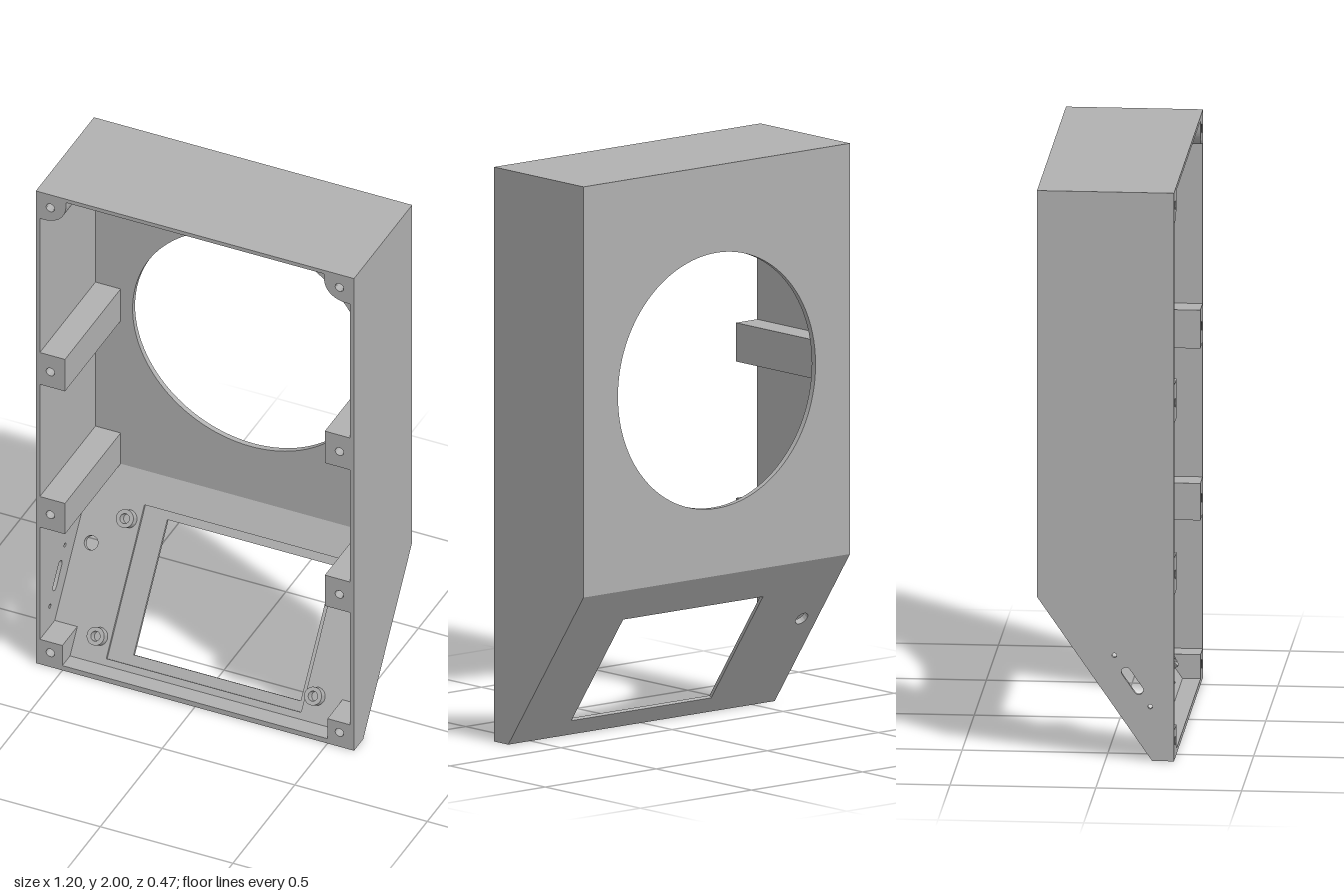
import * as THREE from 'three';
import { toCreasedNormals } from 'three/addons/utils/BufferGeometryUtils.js';

const W = 0.6, INNER = 0.585, FRONT = 0.235, BACK = -0.235, H = 2;
const SLOPE_Y = 0.57, FOOT_Z = 0.16;           // slanted face: (y 0, z FOOT_Z) to (y SLOPE_Y, z BACK)
const TILT = Math.atan2(FOOT_Z - BACK, SLOPE_Y);
const SLOPE_LEN = Math.hypot(FOOT_Z - BACK, SLOPE_Y);

const polygon = (Type, pts) => new Type(pts.map(([x, y]) => new THREE.Vector2(x, y)));
const rect = (Type, x0, y0, x1, y1) => polygon(Type, [[x0, y0], [x1, y0], [x1, y1], [x0, y1]]);
const circle = (Type, x, y, r) => {
  const c = new Type();
  c.absarc(x, y, r, 0, Math.PI * 2, false);
  return c;
};

function extrude(shape, depth, holes = [], curveSegments = 32) {
  shape.holes.push(...holes);
  return new THREE.ExtrudeGeometry(shape, { depth, bevelEnabled: false, curveSegments });
}

export function createModel() {
  const root = new THREE.Group();
  root.name = 'enclosure';
  const grey = new THREE.MeshStandardMaterial({ color: 0xb0b0b0 });
  grey.name = 'grey plastic';

  const add = (parent, name, geometry, x = 0, y = 0, z = 0) => {
    const mesh = new THREE.Mesh(toCreasedNormals(geometry, 0.5), grey);
    mesh.name = name;
    mesh.position.set(x, y, z);
    parent.add(mesh);
    return mesh;
  };

  // Side walls, drawn in (z, y) and extruded across x
  const sideProfile = () => polygon(THREE.Shape,
    [[FOOT_Z, 0], [FRONT, 0], [FRONT, H], [BACK, H], [BACK, SLOPE_Y]]);
  const sideWall = (name, x, holes) =>
    add(root, name, extrude(sideProfile(), W - INNER, holes).rotateY(-Math.PI / 2), x);
  sideWall('leftWall', W, []);

  // Slot and two screw holes parallel to the slanted face in the right wall
  const dir = new THREE.Vector2(-Math.sin(TILT), Math.cos(TILT));
  const mid = new THREE.Vector2(0.092, 0.28);
  const along = (d) => mid.clone().addScaledVector(dir, d);
  const slot = new THREE.Path();
  const angle = Math.atan2(dir.y, dir.x), a = along(0.038), b = along(-0.038);
  slot.absarc(a.x, a.y, 0.016, angle - Math.PI / 2, angle + Math.PI / 2, false);
  slot.absarc(b.x, b.y, 0.016, angle + Math.PI / 2, angle + Math.PI * 1.5, false);
  const screws = [-0.108, 0.108].map((d) => circle(THREE.Path, along(d).x, along(d).y, 0.008));
  sideWall('rightWall', -INNER, [slot, ...screws]);

  // Top and bottom walls
  add(root, 'topWall', new THREE.BoxGeometry(2 * INNER, 0.015, FRONT - BACK), 0, H - 0.0075, 0);
  add(root, 'bottomWall', new THREE.BoxGeometry(2 * INNER, 0.02, FRONT - FOOT_Z), 0, 0.01, (FRONT + FOOT_Z) / 2);

  // Back wall with the large round opening
  add(root, 'backWall', extrude(rect(THREE.Shape, -INNER, SLOPE_Y, INNER, H - 0.015), 0.02,
    [circle(THREE.Path, 0, 1.25, 0.445)], 64), 0, 0, BACK);

  // Slanted panel in two layers: the outer has the window, the inner the wider recess
  const panel = new THREE.Group();
  panel.name = 'slantedPanel';
  panel.position.set(0, 0, FOOT_Z);
  panel.rotation.x = -TILT;
  root.add(panel);
  const layer = (name, z, depth, opening) =>
    add(panel, name, extrude(rect(THREE.Shape, -INNER, 0, INNER, SLOPE_LEN), depth,
      [opening, circle(THREE.Path, -0.525, 0.402, 0.025)]), 0, 0, z);
  layer('panelOuterLayer', 0, 0.012, rect(THREE.Path, -0.28, 0.07, 0.35, 0.547));
  layer('panelInnerLayer', 0.012, 0.01, rect(THREE.Path, -0.37, 0.033, 0.365, 0.576));

  // Hollow standoffs around the window
  for (const x of [-0.415, 0.405]) for (const v of [0.1, 0.515]) {
    add(panel, 'standoff', extrude(circle(THREE.Shape, 0, 0, 0.032), 0.036,
      [circle(THREE.Path, 0, 0, 0.017)]), x, v, 0.021);
  }

  // Screw posts along both sides
  const post = (name, side, shape, holeY) => {
    const hole = circle(THREE.Path, side * 0.545, holeY, 0.016);
    return add(root, name, extrude(shape, FRONT - BACK - 0.01, [hole]), 0, 0, BACK + 0.01);
  };
  for (const s of [-1, 1]) {
    const block = (y0, y1, x = 0.49) =>
      rect(THREE.Shape, Math.min(s * x, s * INNER), y0, Math.max(s * x, s * INNER), y1);
    post('middlePost', s, block(1.185, 1.32), 1.25);
    post('lowerPost', s, block(0.58, 0.71), 0.645);

    // Rounded top corner post
    const corner = new THREE.Shape();
    corner.moveTo(s * INNER, 1.985);
    corner.lineTo(s * 0.487, 1.985);
    corner.lineTo(s * 0.487, 1.96);
    corner.quadraticCurveTo(s * 0.494, 1.898, s * 0.56, 1.888);
    corner.lineTo(s * INNER, 1.888);
    post('topPost', s, corner, 1.945);

    // Bottom post, its rear end cut to meet the slanted panel
    const foot = post('bottomPost', s, block(0.02, 0.105, 0.5), 0.06);
    const p = foot.geometry.attributes.position;
    for (let i = 0; i < p.count; i++) {
      if (p.getZ(i) < 0.1) p.setZ(i, FOOT_Z - p.getY(i) * Math.tan(TILT) + 0.015 - foot.position.z);
    }
    foot.geometry.computeVertexNormals();
    foot.geometry = toCreasedNormals(foot.geometry, 0.5);
  }
  return root;
}
